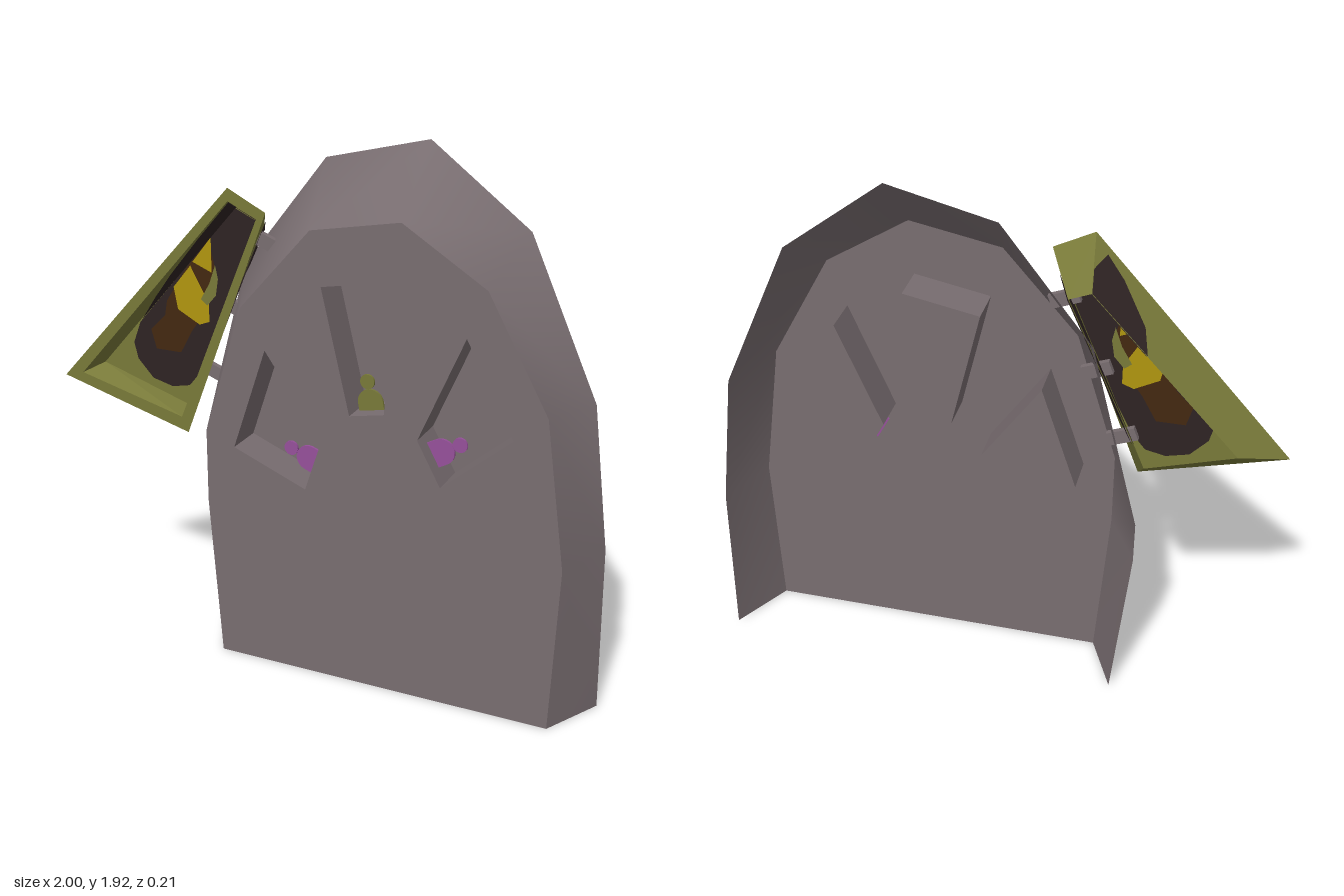
import * as THREE from 'three';
import { mergeVertices } from 'three/addons/utils/BufferGeometryUtils.js';

const mat = (name, color) => {
  const m = new THREE.MeshStandardMaterial({ color, side: THREE.DoubleSide });
  m.name = name;
  return m;
};

const vec = (pts) => pts.map(([x, y]) => new THREE.Vector2(x, y));

// Flat face at depth z, with optional polygon holes
function face(pts, z, holes = []) {
  const shape = new THREE.Shape(vec(pts));
  holes.forEach((h) => shape.holes.push(new THREE.Path(vec(h))));
  return new THREE.ShapeGeometry(shape).translate(0, 0, z);
}

// Band of quads joining a front outline to a back outline
function band(front, zf, back, zb, { closed = true, smooth = false } = {}) {
  const pos = [];
  const n = front.length;
  for (let i = 0; i < (closed ? n : n - 1); i++) {
    const j = (i + 1) % n;
    const a = [...front[i], zf], b = [...front[j], zf];
    const c = [...back[j], zb], d = [...back[i], zb];
    pos.push(...a, ...b, ...c, ...a, ...c, ...d);
  }
  let g = new THREE.BufferGeometry();
  g.setAttribute('position', new THREE.Float32BufferAttribute(pos, 3));
  if (smooth) g = mergeVertices(g);
  g.computeVertexNormals();
  return g;
}

// Polygon in (along, depth) coordinates laid onto one wall of a band
function wallPatch(front, zf, back, zb, i, uv, offset) {
  const j = (i + 1) % front.length;
  const v3 = ([x, y], z) => new THREE.Vector3(x, y, z);
  const a = v3(front[i], zf), b = v3(front[j], zf), c = v3(back[j], zb), d = v3(back[i], zb);
  const n = b.clone().sub(a).cross(d.clone().sub(a)).normalize().multiplyScalar(offset);
  const g = face(uv, 0);
  const p = g.attributes.position;
  for (let k = 0; k < p.count; k++) {
    const u = p.getX(k), v = p.getY(k);
    const q = a.clone().lerp(b, u).lerp(d.clone().lerp(c, u), v).add(n);
    p.setXYZ(k, q.x, q.y, q.z);
  }
  g.computeVertexNormals();
  return g;
}

export function createModel() {
  const model = new THREE.Group();
  const stone = mat('stone grey', 0x786d70);
  const olive = mat('olive', 0x787939);
  const dark = mat('dark stain', 0x2e2323);
  const brown = mat('brown stain', 0x432810);
  const yellow = mat('yellow stain', 0xb0960f);
  const purple = mat('purple', 0x96509a);

  const add = (parent, name, geometry, material) => {
    const mesh = new THREE.Mesh(geometry, material);
    mesh.name = name;
    parent.add(mesh);
    return mesh;
  };
  const group = (name) => {
    const g = new THREE.Group();
    g.name = name;
    model.add(g);
    return g;
  };

  // Slab: open-backed shell with a smoothly shaded sloping border
  const slab = group('slab');
  const zFace = 0.103, zRim = -0.11, zPocket = -0.04;
  const front = [[-0.36, 0], [-0.405, 0.6], [-0.405, 0.87], [-0.26, 1.34], [0, 1.635],
    [0.32, 1.695], [0.615, 1.51], [0.83, 1.12], [0.905, 0.6], [0.885, 0]];
  const rim = [[-0.46, 0], [-0.52, 0.6], [-0.52, 0.755], [-0.35, 1.43], [-0.04, 1.83],
    [0.33, 1.92], [0.68, 1.655], [0.925, 1.11], [0.99, 0.6], [1, 0]];
  const pockets = [
    [[-0.17, 1.2], [0.04, 0.9], [-0.02, 0.715], [-0.295, 0.825]],
    [[0.04, 1.45], [0.305, 1.5], [0.27, 1.04], [0.145, 1.015]],
    [[0.55, 1.345], [0.72, 1.025], [0.475, 0.815], [0.39, 0.97]],
  ];
  add(slab, 'slabFace', face(front, zFace, pockets), stone);
  add(slab, 'slabBorder', band(front, zFace, rim, zRim, { closed: false, smooth: true }), stone);
  pockets.forEach((p) => {
    add(slab, 'pocketWalls', band(p, zFace, p, zPocket), stone);
    add(slab, 'pocketFloor', face(p, zPocket), stone);
  });

  // Flat tokens: a round head and an arched body, standing on a pocket wall
  const body = new THREE.Shape();
  body.moveTo(-0.046, -0.115);
  body.lineTo(0.046, -0.115);
  body.lineTo(0.046, -0.072);
  body.absarc(0, -0.072, 0.046, 0, Math.PI);
  const bodyGeo = new THREE.ExtrudeGeometry(body, { depth: 0.008, bevelEnabled: false, curveSegments: 10 });
  const headGeo = new THREE.CylinderGeometry(0.026, 0.026, 0.008, 18).rotateX(Math.PI / 2).translate(0, 0, 0.004);
  [[-0.1, 0.835, 0.93, -0.36, purple], [0.185, 1.125, 0.18, -0.98, olive], [0.52, 0.955, -0.88, -0.48, purple]]
    .forEach(([x, y, dx, dy, m]) => {
      const token = group('token');
      add(token, 'tokenHead', headGeo, m);
      add(token, 'tokenBody', bodyGeo, m);
      token.position.set(x, y, 0.04);
      token.rotation.z = Math.atan2(dy, dx) + Math.PI / 2;
    });

  // Lid: tapered open-backed frame with a raised rim and a floor halfway down
  const lid = group('lid');
  const outer = [[-1, 0.98], [-0.31, 1.74], [-0.17, 1.67], [-0.49, 0.84]];
  const inner = [[-0.925, 1.0], [-0.31, 1.695], [-0.205, 1.645], [-0.515, 0.895]];
  const floor = [[-0.875, 1.025], [-0.318, 1.66], [-0.222, 1.618], [-0.518, 0.912]];
  const base = [[-0.835, 1.06], [-0.33, 1.6], [-0.255, 1.57], [-0.53, 0.965]];
  const zLid = 0.083, zFloor = 0.01, zBack = -0.07;
  add(lid, 'lidRim', face(outer, zLid, [inner]), olive);
  add(lid, 'lidOuterWalls', band(outer, zLid, base, zBack), olive);
  add(lid, 'lidInnerWalls', band(inner, zLid, floor, zFloor), olive);
  add(lid, 'lidFloor', face(floor, zFloor), olive);

  // Layered stains on both sides of the lid floor
  const stains = [
    ['darkStain', dark, [[-0.32, 1.655], [-0.224, 1.612], [-0.36, 1.288], [-0.42, 1.15], [-0.47, 1.05], [-0.52, 0.99],
      [-0.59, 0.975], [-0.67, 0.995], [-0.73, 1.06], [-0.745, 1.12], [-0.715, 1.2], [-0.6, 1.333]]],
    ['brownStain', brown, [[-0.425, 1.535], [-0.52, 1.42], [-0.6, 1.295], [-0.61, 1.24], [-0.67, 1.18], [-0.65, 1.11],
      [-0.55, 1.11], [-0.5, 1.2], [-0.47, 1.24], [-0.42, 1.32], [-0.4, 1.42]]],
    ['yellowStain', yellow, [[-0.5, 1.435], [-0.57, 1.35], [-0.555, 1.27], [-0.47, 1.225], [-0.43, 1.24], [-0.43, 1.31], [-0.465, 1.37]]],
    ['yellowStreak', yellow, [[-0.415, 1.545], [-0.49, 1.45], [-0.465, 1.44], [-0.415, 1.42]]],
    ['oliveStreak', olive, [[-0.4, 1.45], [-0.425, 1.38], [-0.46, 1.32], [-0.435, 1.3], [-0.4, 1.34], [-0.39, 1.4]]],
  ];
  stains.forEach(([name, m, pts], i) => {
    const lift = 0.003 + 0.0015 * i;
    add(lid, name, face(pts, zFloor + lift), m);
    add(lid, name + 'Back', face(pts, zFloor - lift), m);
  });

  // Dark stain running over the lid walls
  const innerStains = [
    [[0.3, 1], [0.45, 0.6], [0.6, 0.3], [0.8, 0.1], [1, 0.05], [1, 1]],
    [[0, 0.05], [1, 0.05], [1, 1], [0, 1]],
    [[0, 0.08], [0.35, 0.2], [0.55, 0.6], [0.7, 1], [0, 1]],
  ];
  innerStains.forEach((uv, i) => add(lid, 'innerWallStain', wallPatch(inner, zLid, floor, zFloor, i, uv, -0.003), dark));
  const leftStain = [[0.63, 1], [0.7, 0.6], [0.85, 0.25], [0.94, 0.15], [1, 0.6], [1, 1]];
  const rightStain = [[0, 0.5], [0.7, 0.5], [0.85, 1], [0, 1]];
  [-0.003, 0.003].forEach((offset) => {
    add(lid, 'leftWallStain', wallPatch(outer, zLid, base, zBack, 0, leftStain, offset), dark);
    add(lid, 'rightWallStain', wallPatch(outer, zLid, base, zBack, 2, rightStain, offset), dark);
  });

  // Hinge tabs between lid and slab
  [[-0.235, 1.548], [-0.35, 1.297], [-0.445, 1.052]].forEach(([x, y]) => {
    const hinge = add(model, 'hinge', new THREE.BoxGeometry(0.1, 0.048, 0.02), stone);
    hinge.position.set(x, y, -0.02);
    hinge.rotation.z = -0.37;
  });

  return model;
}
